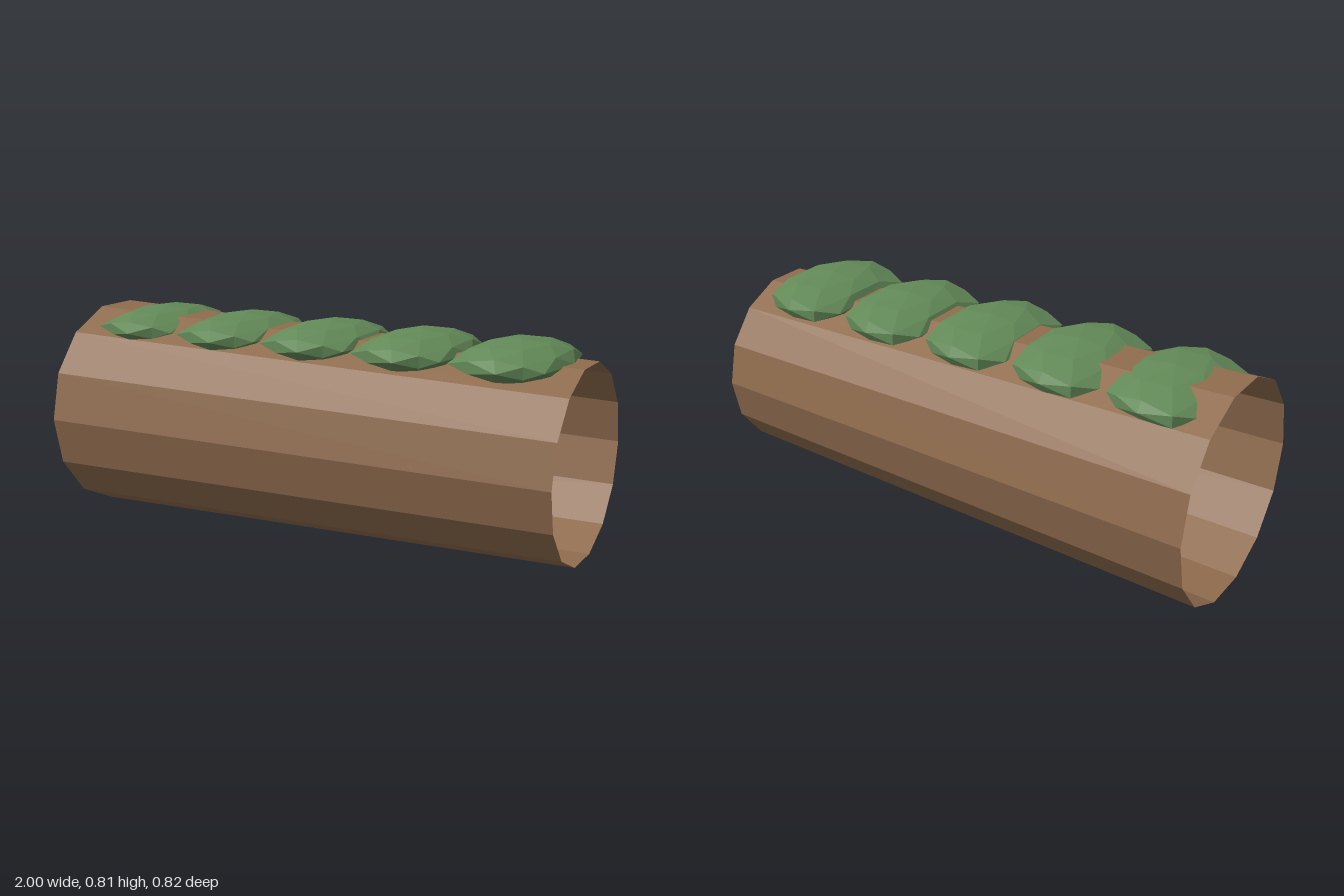
import * as THREE from 'three';

const bark = new THREE.MeshStandardMaterial({ color: 0x8f6c4e, flatShading: true, side: THREE.DoubleSide });
const moss = new THREE.MeshStandardMaterial({ color: 0x638a58, flatShading: true });

// Flattened low-poly cushion with a slightly uneven rim
function mossGeometry() {
  const geo = new THREE.IcosahedronGeometry(1, 1);
  const p = geo.attributes.position;
  for (let i = 0; i < p.count; i++) {
    let x = p.getX(i), y = p.getY(i), z = p.getZ(i);
    if (Math.abs(y) < 0.05 && Math.abs(z) > 0.4 && Math.abs(z) < 0.6) {
      // four rim corners pushed outwards
      z *= z > 0 ? 1.32 : 1.24;
      x *= x > 0 ? 0.96 : 1.12;
    } else if (z < -0.9) {
      z = -0.93; // blunt back tip
    } else if (z < -0.7 && x < -0.4) {
      x *= 1.25; // squared-off back corner
      z *= 1.12;
    } else if (z > 0.9) {
      x += 0.12; // front tip leans sideways
    } else if (x < -0.9) {
      x = -0.94;
    }
    p.setXYZ(i, x * 0.195, y * 0.07, z * 0.285);
  }
  geo.computeVertexNormals();
  return geo;
}

export function createModel() {
  const model = new THREE.Group();
  model.name = 'hollowMossyLog';

  // Open tapered tube lying along x, wider at -x
  const tube = new THREE.CylinderGeometry(0.354, 0.41, 2, 14, 1, true);
  tube.rotateZ(-Math.PI / 2);
  const log = new THREE.Mesh(tube, bark);
  log.name = 'hollowLog';
  log.position.y = 0.4;
  model.add(log);

  // Row of moss cushions sunk into the top
  const geo = mossGeometry();
  for (let i = 0; i < 5; i++) {
    const patch = new THREE.Mesh(geo, moss);
    patch.name = `mossPatch${i + 1}`;
    patch.position.set((i - 2) * 0.373, 0.743, 0);
    model.add(patch);
  }
  return model;
}
